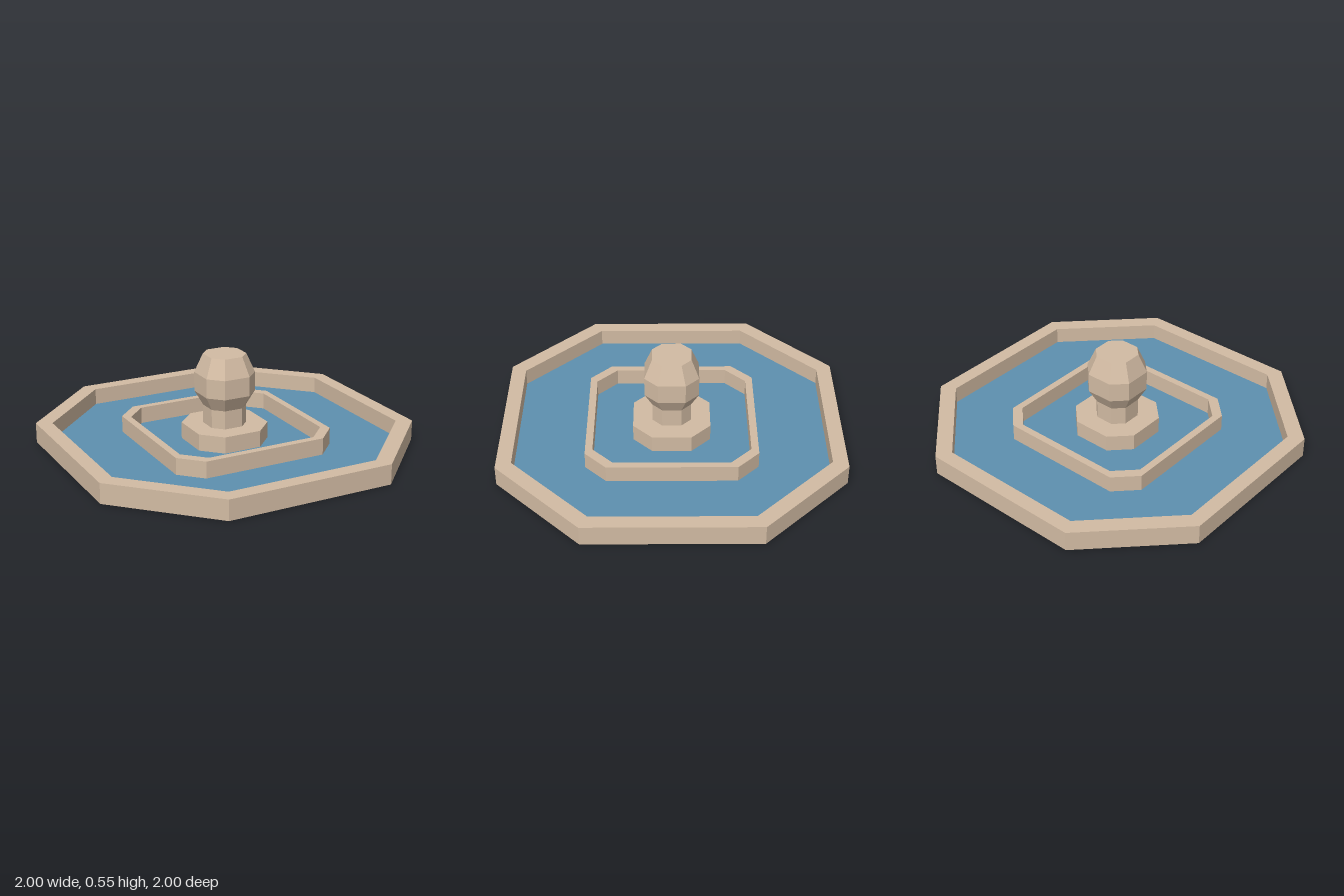
import * as THREE from 'three';

const stone = new THREE.MeshStandardMaterial({ color: 0xd2bba3, flatShading: true, side: THREE.DoubleSide });
stone.name = 'sandstone';
const blue = new THREE.MeshStandardMaterial({ color: 0x5d90af, flatShading: true, side: THREE.DoubleSide });
blue.name = 'water blue';

// Corners of a chamfered square: half width h, half length f of the straight sides
function corners([h, f, y]) {
  return [[f, h], [h, f], [h, -f], [f, -h], [-f, -h], [-h, -f], [-h, f], [-f, h]]
    .map(([x, z]) => [x, y, z]);
}

// Skin successive chamfered squares [h, f, y], with optional end caps
function loft(rings, capBottom = false, capTop = false) {
  const loops = rings.map(corners);
  const pos = [];
  const tri = (...points) => points.forEach((p) => pos.push(...p));
  for (let r = 0; r < loops.length - 1; r++) {
    const a = loops[r], b = loops[r + 1];
    for (let i = 0; i < 8; i++) {
      const j = (i + 1) % 8;
      tri(a[i], a[j], b[j]);
      tri(a[i], b[j], b[i]);
    }
  }
  const first = loops[0], last = loops[loops.length - 1];
  for (let i = 1; i < 7; i++) {
    if (capBottom) tri(first[0], first[i + 1], first[i]);
    if (capTop) tri(last[0], last[i], last[i + 1]);
  }
  const geometry = new THREE.BufferGeometry();
  geometry.setAttribute('position', new THREE.Float32BufferAttribute(pos, 3));
  geometry.computeVertexNormals();
  return geometry;
}

export function createModel() {
  const model = new THREE.Group();
  model.name = 'fountain';
  const add = (name, geometry, material) => {
    const mesh = new THREE.Mesh(geometry, material);
    mesh.name = name;
    model.add(mesh);
    return mesh;
  };
  const top = 0.12, level = 0.02;

  // Basin: thin floor and a rim that is open underneath
  add('basinFloor', loft([[0.91, 0.455, 0], [0.91, 0.455, level - 0.004]], true, true), stone);
  add('outerRim', loft([[1, 0.5, 0], [1, 0.5, top], [0.912, 0.456, top], [0.912, 0.456, level]]), stone);

  // Thin ribs under the middle of each straight rim side
  for (let i = 0; i < 4; i++) {
    const rib = new THREE.BoxGeometry(0.006, level - 0.002, 0.08);
    rib.translate(0, level / 2, 0.953);
    rib.rotateY(i * Math.PI / 2);
    add('rimRib', rib, stone);
  }

  // Water sheet
  add('water', loft([[0.997, 0.498, level]], false, true), blue);

  // Raised inner ring
  add('innerRing', loft([
    [0.5, 0.375, level], [0.5, 0.375, top], [0.457, 0.337, top], [0.457, 0.337, level],
  ]), stone);

  // Centrepiece
  add('pedestal', loft([[0.228, 0.115, level], [0.228, 0.115, top]], false, true), stone);
  add('column', loft([[0.114, 0.056, top], [0.114, 0.056, 0.232]]), stone);
  add('urn', loft([
    [0.114, 0.056, 0.232], [0.159, 0.08, 0.318], [0.159, 0.08, 0.434], [0.114, 0.056, 0.547],
  ], false, true), stone);

  return model;
}
